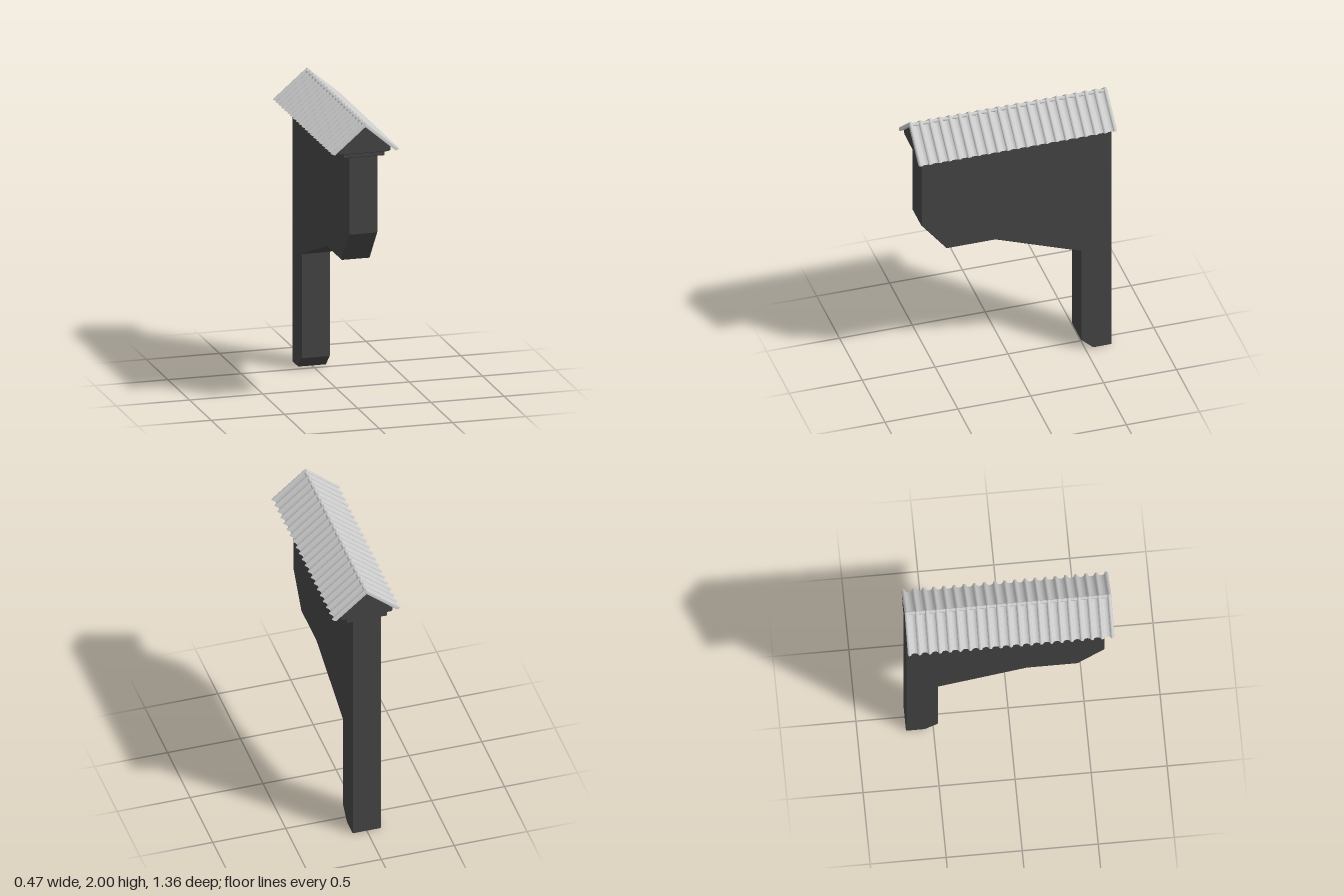
import * as THREE from 'three';
import { toCreasedNormals } from 'three/addons/utils/BufferGeometryUtils.js';

const dark = new THREE.MeshStandardMaterial({ color: 0x444444 });
const grey = new THREE.MeshStandardMaterial({ color: 0xcccccc });
const shapeOf = (pts) => new THREE.Shape(pts.map(([x, y]) => new THREE.Vector2(x, y)));

function part(name, geometry, material) {
  const mesh = new THREE.Mesh(geometry, material);
  mesh.name = name;
  return mesh;
}

// Extrusion with a tiny chamfer that stays inside the outline
function chamfered(pts, depth, c = 0.004) {
  const geo = new THREE.ExtrudeGeometry(shapeOf(pts), {
    depth: depth - 2 * c, bevelEnabled: true, bevelThickness: c, bevelSize: c, bevelOffset: -c, bevelSegments: 1,
  });
  return geo.translate(0, 0, c);
}

// Roof measurements: both slopes meet at the ridge line
const PITCH = Math.atan2(0.2, 0.235);
const THICK = 0.026;
const LENGTH = Math.hypot(0.2, 0.235);
const UNDER_RIDGE = 2 - THICK / Math.cos(PITCH);
const RIBS = 21, STEP = 1.334 / (RIBS - 1), R = 0.0125;

// Corrugated section: round ribs with hollow pans between them
function corrugation() {
  const pts = [[-0.667 - R, 0]];
  for (let i = 0; i < RIBS; i++) {
    const c = -0.667 + i * STEP;
    for (let k = 0; k <= 8; k++) {
      const a = Math.PI * (1 - k / 8);
      pts.push([c + R * Math.cos(a), THICK - R + R * Math.sin(a)]);
    }
    if (i === RIBS - 1) break;
    const half = STEP / 2 - R - 0.002;
    for (let k = 0; k <= 6; k++) {
      const t = k / 3 - 1;
      pts.push([c + STEP / 2 + t * half, 0.006 + 0.006 * t * t]);
    }
  }
  pts.push([0.667 + R, 0]);
  return shapeOf(pts.reverse());
}

// One roof slope, mitred at the ridge and raked at the eave
function slopeGeometry() {
  const geo = new THREE.ExtrudeGeometry(corrugation(), { depth: LENGTH, bevelEnabled: false });
  const p = geo.attributes.position;
  for (let i = 0; i < p.count; i++) {
    const h = p.getY(i);
    if (p.getZ(i) < LENGTH / 2) p.setZ(i, -h * Math.tan(PITCH));
    else p.setZ(i, (0.235 - THICK * Math.sin(PITCH)) / Math.cos(PITCH) + (h - THICK) * 0.5);
  }
  const s = Math.sin(PITCH), c = Math.cos(PITCH);
  geo.applyMatrix4(new THREE.Matrix4().makeBasis(
    new THREE.Vector3(0, 0, -1), new THREE.Vector3(s, c, 0), new THREE.Vector3(c, -s, 0)));
  geo.translate(0, UNDER_RIDGE, 0);
  return toCreasedNormals(geo, 0.7);
}

export function createModel() {
  const model = new THREE.Group();
  model.name = 'roofedWallBracket';

  // Wall panel with a rear leg and cut lower corners
  const wall = chamfered([
    [-0.68, 0], [-0.555, 0], [-0.47, 0.08], [-0.47, 0.79], [0.115, 1.005],
    [0.45, 1.005], [0.625, 1.225], [0.625, 1.77], [-0.68, 1.77],
  ], 0.196);
  wall.rotateY(-Math.PI / 2).translate(0.098, 0, 0);
  model.add(part('wall', wall, dark));

  // Stepped cornice, flush with the wall at the back
  const cornice = chamfered([[-0.14, 1.753], [0.14, 1.753], [0.14, 1.79], [-0.14, 1.79]], 1.327);
  model.add(part('cornice', cornice.translate(0, 0, -0.68), dark));

  // Gable block filling the space under the roof
  const edge = UNDER_RIDGE - 0.178 * Math.tan(PITCH);
  const gable = chamfered([
    [-0.165, 1.782], [0.165, 1.782], [0.178, 1.79], [0.178, edge],
    [0, UNDER_RIDGE + 0.004], [-0.178, edge], [-0.178, 1.79],
  ], 1.338);
  model.add(part('gable', gable.translate(0, 0, -0.68), dark));

  // Two matching corrugated slopes
  const slope = slopeGeometry();
  ['leftRoofSlope', 'rightRoofSlope'].forEach((name, i) => {
    const mesh = part(name, slope, grey);
    mesh.rotation.y = i * Math.PI;
    model.add(mesh);
  });

  // Slim ridge roll closing the joint
  const ridge = new THREE.CylinderGeometry(0.012, 0.012, 1.35, 12).rotateX(Math.PI / 2);
  model.add(part('ridgeRoll', ridge.translate(0, 1.973, 0), grey));

  return model;
}
